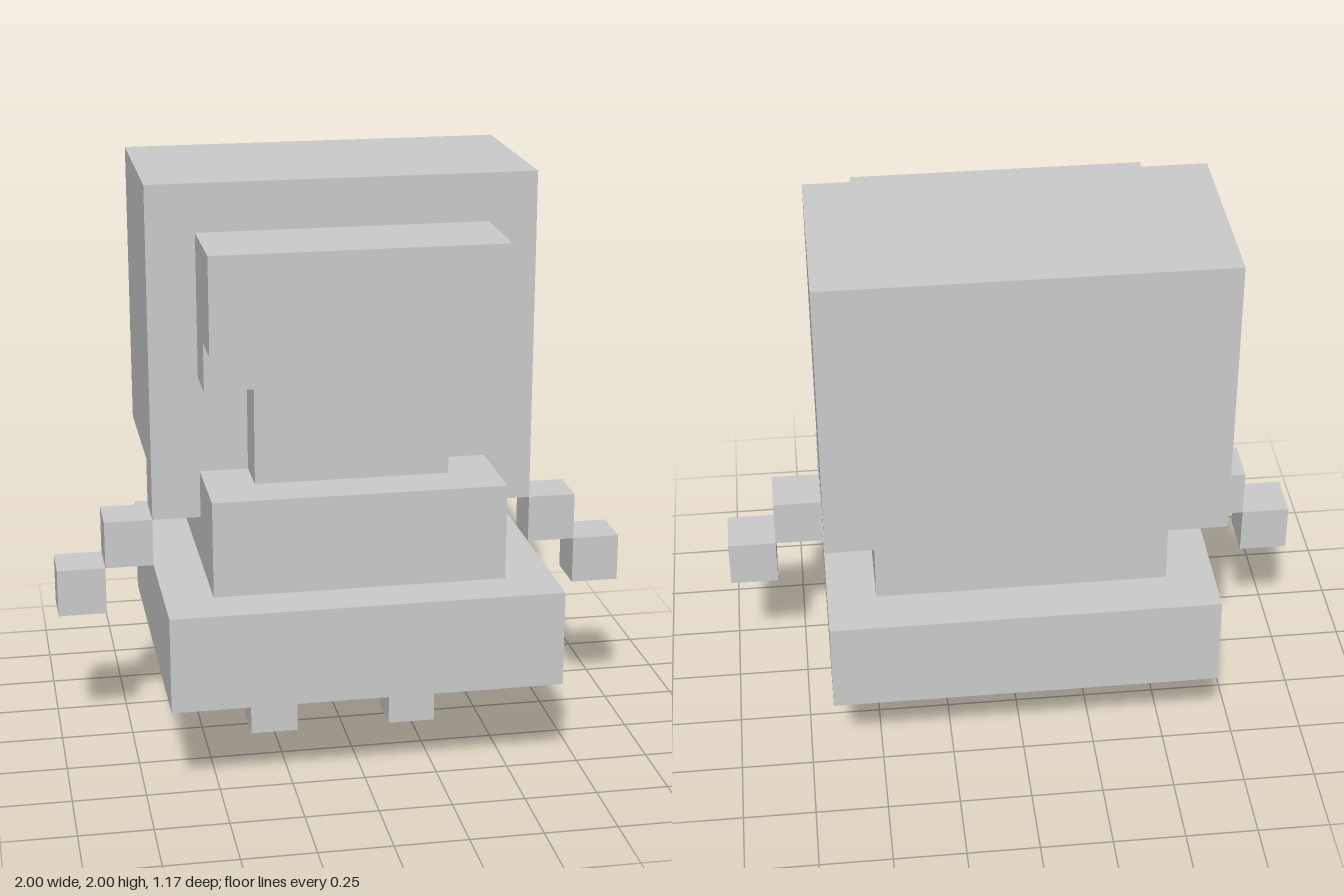
import * as THREE from 'three';

const U = 1 / 6; // one block
const material = new THREE.MeshStandardMaterial({ color: 0xcccccc, flatShading: true });

// Box given by its low and high corners, counted in blocks
function block(name, [x0, y0, z0], [x1, y1, z1]) {
  const geometry = new THREE.BoxGeometry((x1 - x0) * U, (y1 - y0) * U, (z1 - z0) * U);
  const mesh = new THREE.Mesh(geometry, material);
  mesh.position.set((x0 + x1) / 2 * U, (y0 + y1) / 2 * U, (z0 + z1) / 2 * U);
  mesh.name = name;
  return mesh;
}

export function createModel() {
  const model = new THREE.Group();
  model.name = 'blockFigure';

  // Body: wide skirt with a narrower torso on top
  model.add(
    block('skirt', [-4, 2, -3.5], [4, 4, 3.5]),
    block('torso', [-3, 4, -2.5], [3, 6, 2.5]),
  );

  // Head: large block with a face and an overhanging fringe
  model.add(
    block('head', [-4, 6, -3.5], [4, 12, 0.5]),
    block('lowerFace', [-2, 6, 0.5], [2, 8, 1.5]),
    block('upperFace', [-3, 8, 0.5], [3, 9, 1.5]),
    block('fringe', [-3, 9, 0.5], [3, 11, 2.5]),
  );

  // Paired parts, mirrored across x
  for (const [side, s] of [['left', 1], ['right', -1]]) {
    const pair = (name, x0, x1, y0, y1) => model.add(block(
      side + name, [Math.min(s * x0, s * x1), y0, -0.5], [Math.max(s * x0, s * x1), y1, 0.5]));
    pair('SideLock', 3, 4, 5, 6);
    pair('UpperArm', 4, 5, 4, 5);
    pair('Hand', 5, 6, 3, 4);
    pair('Leg', 1, 2, 0, 2);
  }
  return model;
}
